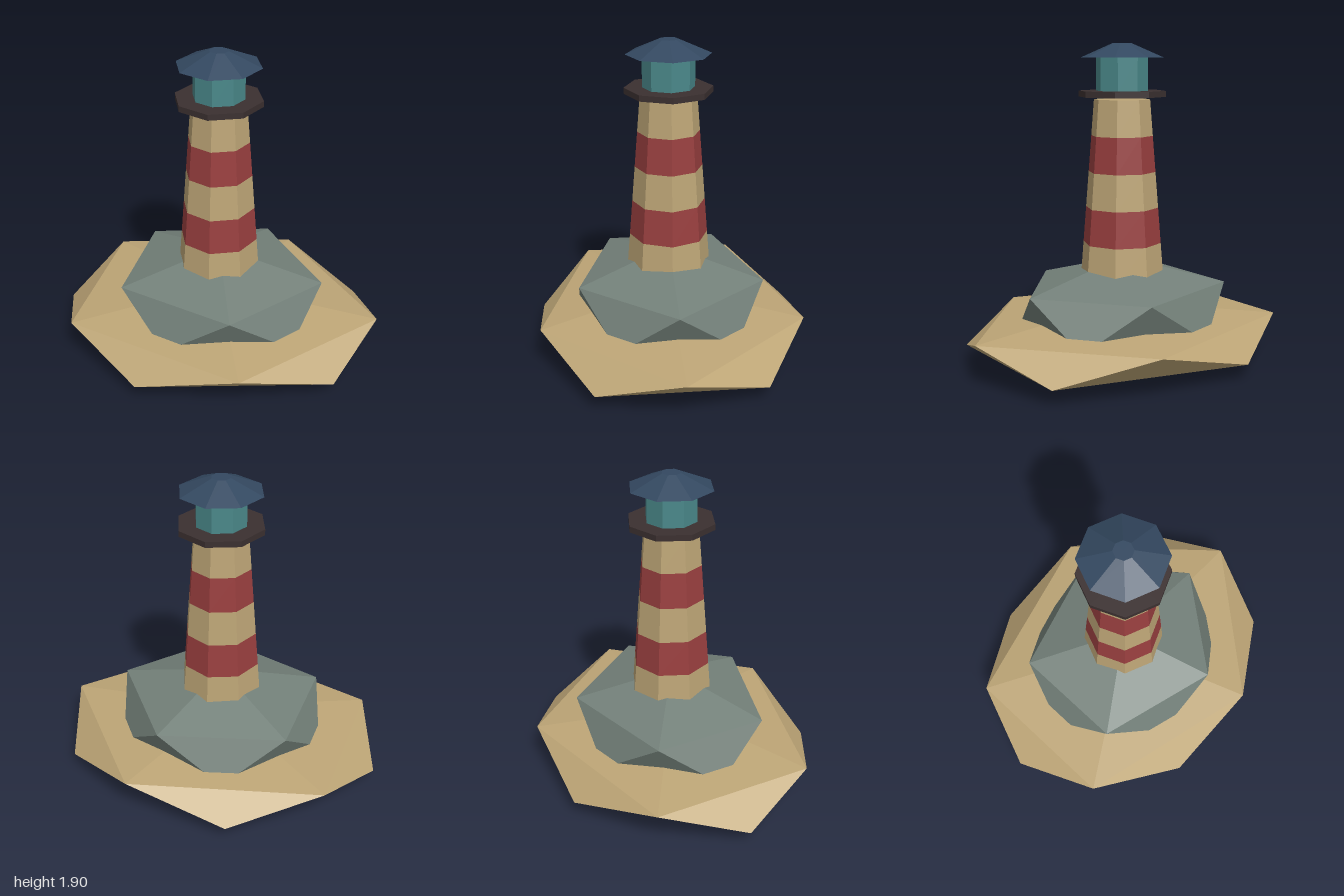
import * as THREE from 'three';
import { ConvexGeometry } from 'three/addons/geometries/ConvexGeometry.js';

function material(name, color) {
  const m = new THREE.MeshStandardMaterial({ color, flatShading: true });
  m.name = name;
  return m;
}

// Squashed icosahedron standing on its pole, one upper-ring corner towards +x
function boulder(radiusX, radiusZ, halfHeight, centreY) {
  const points = [];
  for (const side of [1, -1]) {
    points.push(new THREE.Vector3(0, centreY + side * halfHeight, 0));
    for (let i = 0; i < 5; i++) {
      const a = (i * 2 * Math.PI) / 5 + (side < 0 ? Math.PI / 5 : 0);
      points.push(new THREE.Vector3(
        radiusX * Math.cos(a),
        centreY + side * halfHeight * 0.447,
        radiusZ * Math.sin(a)
      ));
    }
  }
  return new ConvexGeometry(points);
}

// Eight-sided tapered drum between two heights
function drum(radiusBottom, radiusTop, y0, y1, openEnded = false) {
  const g = new THREE.CylinderGeometry(radiusTop, radiusBottom, y1 - y0, 8, 1, openEnded);
  return g.translate(0, (y0 + y1) / 2, 0);
}

export function createModel() {
  const sand = material('sand', 0xbda576);
  const rock = material('rock', 0x738079);
  const red = material('red', 0x993f3f);
  const dark = material('dark brown', 0x3b3030);
  const glass = material('teal glass', 0x4a888a);
  const slate = material('blue slate', 0x334860);

  const model = new THREE.Group();
  model.name = 'lighthouse';
  const add = (name, geometry, mat, parent = model) => {
    const mesh = new THREE.Mesh(geometry, mat);
    mesh.name = name;
    parent.add(mesh);
  };

  // Island
  add('sandIsland', boulder(1, 0.83, 0.172, 0.172), sand);
  add('rockMound', boulder(0.648, 0.583, 0.297, 0.327), rock);

  // Striped tower: five bands along one taper
  const tower = new THREE.Group();
  tower.name = 'tower';
  model.add(tower);
  const base = 0.5, top = 1.572, bands = 5;
  const radius = (i) => THREE.MathUtils.lerp(0.253, 0.168, i / bands);
  const height = (i) => THREE.MathUtils.lerp(base, top, i / bands);
  for (let i = 0; i < bands; i++) {
    add(`towerBand${i + 1}`, drum(radius(i), radius(i + 1), height(i), height(i + 1), i > 0 && i < bands - 1),
      i % 2 ? red : sand, tower);
  }

  // Lantern room
  add('gallery', drum(0.26, 0.26, 1.587, 1.622), dark);
  add('lantern', drum(0.154, 0.154, 1.622, 1.814), glass);
  add('roof', drum(0.25, 0.057, 1.814, 1.898), slate);

  return model;
}
